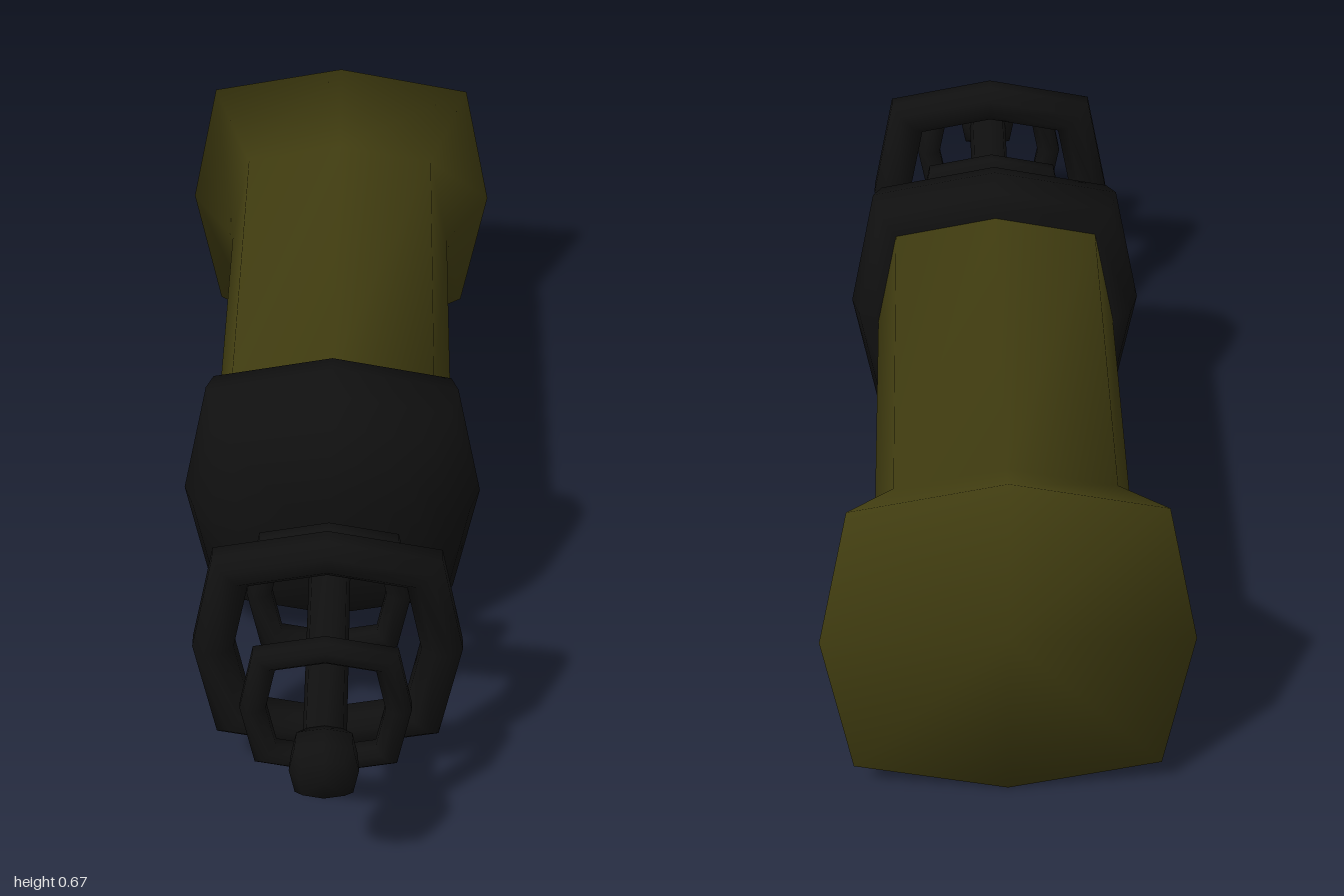
import * as THREE from 'three';
import { mergeVertices } from 'three/addons/utils/BufferGeometryUtils.js';

const SIDES = 8;
const TILT = 0.03;

// Centre line: level through the barrel, drooping slightly toward the tip
const centreY = (z) => 0.335 - 0.026 * Math.max(0, (z - 0.05) / 0.95);

// Sweeps a [z, radius] profile round the axis with a boxy eight-point section.
// Shared vertices keep the shading smooth.
function sweep(profile, closed = false) {
  const positions = [];
  const index = [];
  for (const [z, r] of profile) {
    for (let j = 0; j < SIDES; j++) {
      const a = (j / SIDES) * Math.PI * 2;
      const reach = j % 2 ? r * 0.836 * Math.SQRT2 : r;
      const y = Math.sin(a) * reach;
      positions.push(Math.cos(a) * reach, centreY(z) + y, z + TILT * y);
    }
  }
  const rows = closed ? profile.length : profile.length - 1;
  for (let i = 0; i < rows; i++) {
    const n = (i + 1) % profile.length;
    for (let j = 0; j < SIDES; j++) {
      const k = (j + 1) % SIDES;
      const a = i * SIDES + j, b = i * SIDES + k;
      const c = n * SIDES + k, d = n * SIDES + j;
      if (profile[i][1] > 0) index.push(a, b, c);
      if (profile[n][1] > 0) index.push(a, c, d);
    }
  }
  let geometry = new THREE.BufferGeometry();
  geometry.setAttribute('position', new THREE.Float32BufferAttribute(positions, 3));
  geometry.setIndex(index);
  geometry = mergeVertices(geometry, 1e-5);
  geometry.computeVertexNormals();
  return geometry;
}

// Closed round section for a ring of the given centre radius and thickness
function ringProfile(z, radius, thickness) {
  return Array.from({ length: 8 }, (_, i) => {
    const t = ((i + 0.5) / 8) * Math.PI * 2;
    return [z + Math.sin(t) * thickness, radius + Math.cos(t) * thickness];
  });
}

export function createModel() {
  const group = new THREE.Group();
  const olive = new THREE.MeshStandardMaterial({ color: 0x403c10 });
  olive.name = 'olive';
  const black = new THREE.MeshStandardMaterial({ color: 0x101010 });
  black.name = 'black';

  const add = (name, geometry, material) => {
    const mesh = new THREE.Mesh(geometry, material);
    mesh.name = name;
    group.add(mesh);
  };

  // Barrel with flared, closed rear end
  add('barrel', sweep([[-0.99, 0], [-0.99, 0.335], [-0.81, 0.24], [0.06, 0.24]]), olive);

  // Domed collar at the front of the barrel
  add('collar', sweep([
    [0.05, 0], [0.05, 0.245], [0.085, 0.28], [0.14, 0.295], [0.2, 0.275],
    [0.25, 0.235], [0.285, 0.18], [0.305, 0.11], [0.308, 0],
  ]), black);

  // Rod and rounded tip
  add('rod', sweep([[0.28, 0.04], [0.93, 0.04]]), black);
  add('tip', sweep([
    [0.89, 0], [0.89, 0.04], [0.92, 0.06], [0.965, 0.063], [0.99, 0.045], [0.998, 0],
  ]), black);

  // Three rings around the rod
  add('rearRing', sweep(ringProfile(0.46, 0.134, 0.026), true), black);
  add('middleRing', sweep(ringProfile(0.612, 0.215, 0.042), true), black);
  add('frontRing', sweep(ringProfile(0.79, 0.134, 0.026), true), black);

  return group;
}
